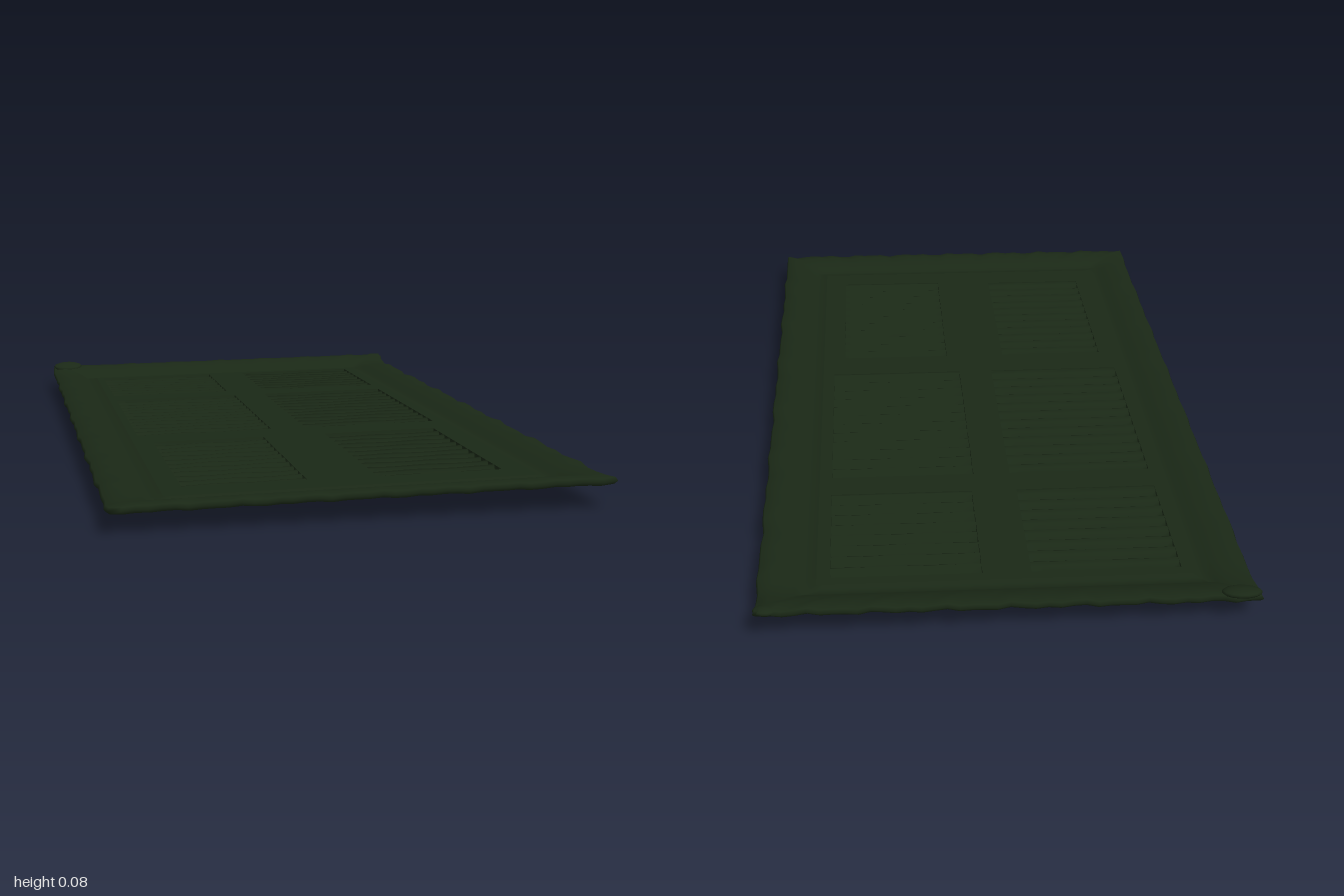
import * as THREE from 'three';

const material = new THREE.MeshStandardMaterial({ color: 0x1a2816, roughness: 1, side: THREE.DoubleSide });
const RAIL_Y = 0.052;

// Aged timber: slight skew and tilt, with both ends curling up
function warp(geometry) {
  const p = geometry.attributes.position;
  for (let i = 0; i < p.count; i++) {
    const x = p.getX(i), y = p.getY(i), z = p.getZ(i);
    const back = Math.max(0, (-z - 0.88) / 0.1);
    const front = Math.max(0, (z - 0.9) / 0.1);
    p.setXYZ(i, x - 0.0075 * z, y + 0.012 * x + 0.02 * back + 0.008 * front, z + 0.01 * x * Math.max(0, -z));
  }
  geometry.computeVertexNormals();
  return geometry;
}

function addPart(group, name, geometry) {
  const mesh = new THREE.Mesh(warp(geometry), material);
  mesh.name = name;
  group.add(mesh);
  return mesh;
}

// Surface through equally long rows of [x, y, z] points
function sheet(rows) {
  const n = rows[0].length, index = [];
  for (let r = 0; r < rows.length - 1; r++) {
    for (let c = 0; c < n - 1; c++) {
      const a = r * n + c, b = a + n;
      index.push(a, b, a + 1, b, b + 1, a + 1);
    }
  }
  const g = new THREE.BufferGeometry();
  g.setAttribute('position', new THREE.Float32BufferAttribute(rows.flat(2), 3));
  g.setIndex(index);
  return g;
}

// Moulded casing: profile of [inset, height] swept round the rectangle
function casingGeometry() {
  const profile = [[0.006, 0.043], [0, 0.05], [0.004, 0.058], [0.03, 0.063], [0.06, 0.06],
    [0.085, 0.055], [0.1, 0.047], [0.115, 0.048], [0.13, RAIL_Y]];
  const steps = 40;
  const rows = profile.map(([d, y]) => {
    const x = 0.55 - d, z0 = -0.975 + d, z1 = 0.995 - d;
    const corners = [[-x, z0], [x, z0], [x, z1], [-x, z1]];
    const row = [];
    for (let s = 0; s < 4; s++) {
      const [ax, az] = corners[s], [bx, bz] = corners[(s + 1) % 4];
      for (let i = 0; i < steps; i++) {
        const t = i / steps;
        // chipped outer edge
        const rough = d < 0.05 ? 0.002 * Math.sin(i * 2.3 + s) + 0.0015 * Math.sin(i * 5.1) : 0;
        const px = ax + (bx - ax) * t, pz = az + (bz - az) * t;
        row.push([px + (s % 2 ? rough : 0), y + rough * 0.8, pz + (s % 2 ? 0 : rough)]);
      }
    }
    row.push([...row[0]]);
    return row;
  });
  return sheet(rows);
}

// Louvre panel: sawtooth of slats, low at the upper edge of each slat
function louvreGeometry(x0, x1, z0, z1, low, spikeZ) {
  const count = Math.round((z1 - z0) / 0.046), pitch = (z1 - z0) / count, cols = 12;
  const spiked = spikeZ === undefined ? -1 : Math.round((spikeZ - z0) / pitch);
  const rows = [];
  const addRow = (z, y, dip, wave) => {
    const row = [[x0, RAIL_Y, z]];
    for (let c = 0; c <= cols; c++) {
      const x = x0 + ((x1 - x0) * c) / cols;
      const ripple = wave * (1 + Math.sin(c * 0.9 + z * 31));
      row.push([x, y + ripple - dip * Math.exp(-(((x - 0.215) / 0.03) ** 2)), z]);
    }
    row.push([x1, RAIL_Y, z]);
    rows.push(row);
  };
  addRow(z0, RAIL_Y, 0, 0);
  for (let i = 0; i < count; i++) {
    const z = z0 + i * pitch;
    addRow(z + pitch * 0.14, low, i === spiked ? 0.0205 : 0, 0.001);
    addRow(z + pitch * 0.55, low + 0.016, 0, 0.001);
    addRow(z + pitch * 0.88, RAIL_Y - 0.002, 0, 0.001);
    addRow(z + pitch, RAIL_Y - 0.004, 0, 0);
  }
  addRow(z1, RAIL_Y, 0, 0);
  return sheet(rows);
}

export function createModel() {
  const model = new THREE.Group();
  model.name = 'louvredShutter';

  addPart(model, 'outerCasing', casingGeometry());

  // Louvre openings: [x0, x1, z0, z1]
  const openings = [
    [-0.4, -0.06, -0.82, -0.47], [0.05, 0.39, -0.82, -0.47],
    [-0.4, -0.05, -0.39, 0.17], [0.04, 0.39, -0.39, 0.17],
    [-0.37, -0.09, 0.27, 0.78], [0.07, 0.36, 0.27, 0.79],
  ];

  // Stiles, mullion and cross rails cut from one board
  const rect = (path, x0, x1, z0, z1) =>
    path.moveTo(x0, -z0).lineTo(x1, -z0).lineTo(x1, -z1).lineTo(x0, -z1).closePath();
  const board = rect(new THREE.Shape(), -0.42, 0.42, -0.845, 0.865);
  for (const o of openings) board.holes.push(rect(new THREE.Path(), ...o));
  const rails = new THREE.ShapeGeometry(board).rotateX(-Math.PI / 2).translate(0, RAIL_Y, 0);
  addPart(model, 'stilesAndRails', rails);

  // Slats, set deeper in the left-hand column of panels
  const louvres = new THREE.Group();
  louvres.name = 'louvrePanels';
  openings.forEach((o, i) => {
    const low = o[0] > 0 ? 0.018 : 0.032;
    addPart(louvres, 'louvrePanel', louvreGeometry(...o, low, i === 5 ? 0.39 : undefined));
  });
  model.add(louvres);

  // Worn lumps at the two back corners
  const lumps = [['rightCornerLump', -0.505, 0.062, -0.957, 0.045, 0.011, 0.03],
    ['leftCornerLump', 0.525, 0.052, -0.955, 0.028, 0.011, 0.025]];
  for (const [name, x, y, z, sx, sy, sz] of lumps) {
    addPart(model, name, new THREE.SphereGeometry(1, 14, 8).scale(sx, sy, sz).translate(x, y, z));
  }
  return model;
}
